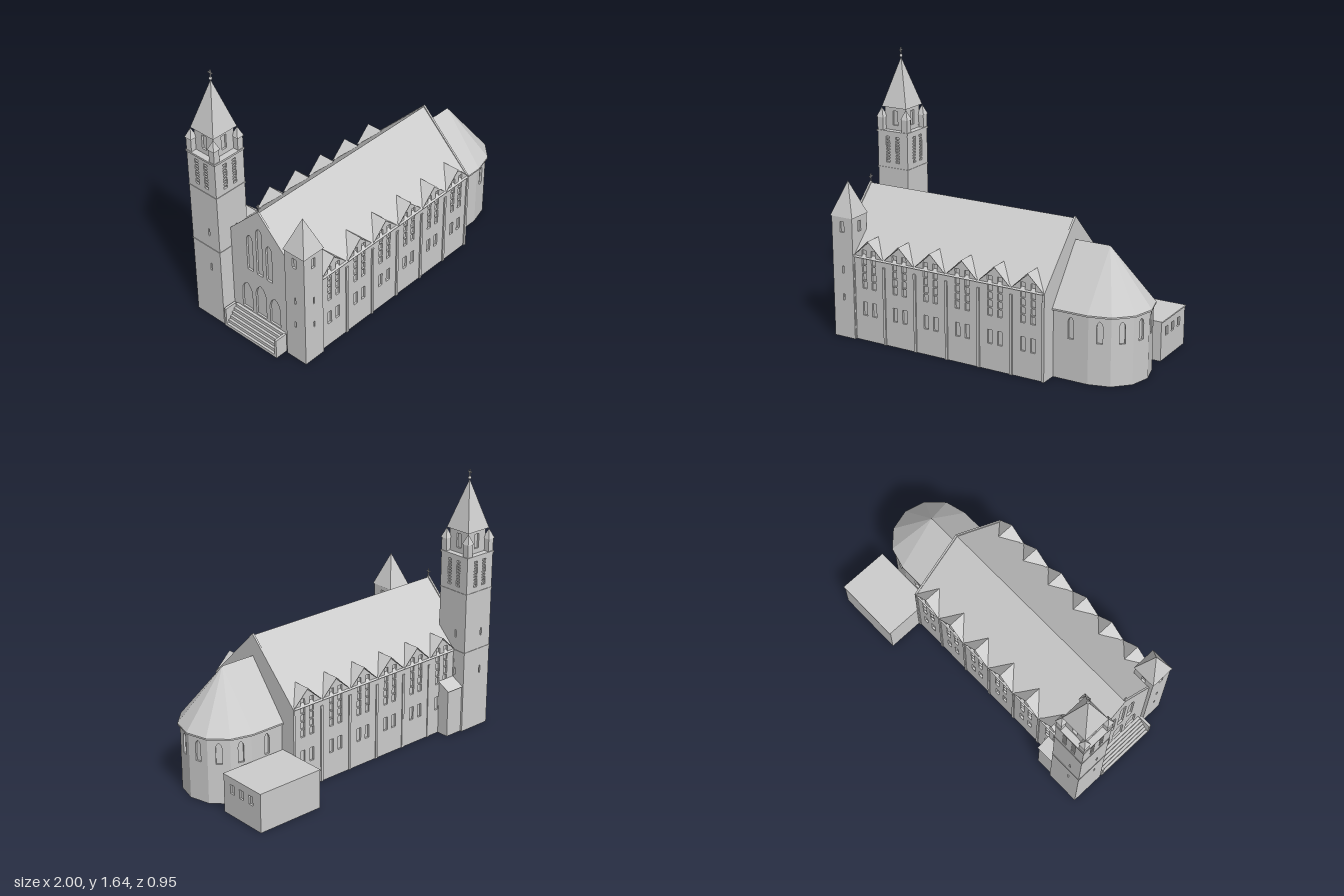
import * as THREE from 'three';

const stone = new THREE.MeshStandardMaterial({ color: 0xcccccc, side: THREE.DoubleSide });
stone.name = 'pale stone';

const T = 0.012;            // wall thickness and window recess
const CZ = 0.107;           // long axis of the nave

function add(parent, name, geometry, x = 0, y = 0, z = 0) {
  const mesh = new THREE.Mesh(geometry, stone);
  mesh.name = name;
  mesh.position.set(x, y, z);
  parent.add(mesh);
  return mesh;
}

// box given by its limits
function box(parent, name, x0, x1, y0, y1, z0, z1) {
  return add(parent, name, new THREE.BoxGeometry(x1 - x0, y1 - y0, z1 - z0),
    (x0 + x1) / 2, (y0 + y1) / 2, (z0 + z1) / 2);
}

// flat-sided surface from planar polygons
function facets(polygons) {
  const v = [];
  for (const p of polygons)
    for (let i = 1; i < p.length - 1; i++) v.push(...p[0], ...p[i], ...p[i + 1]);
  const g = new THREE.BufferGeometry();
  g.setAttribute('position', new THREE.Float32BufferAttribute(v, 3));
  g.computeVertexNormals();
  return g;
}

function pyramid(parent, name, x, z, half, y0, y1) {
  const c = [[-1, 1], [1, 1], [1, -1], [-1, -1]].map(([a, b]) => [a * half, 0, b * half]);
  const sides = c.map((p, i) => [p, c[(i + 1) % 4], [0, y1 - y0, 0]]);
  return add(parent, name, facets([...sides, [...c].reverse()]), x, y0, z);
}

// opening: u = centre along the wall, y = sill
function hole({ u, y, w, h, arch }) {
  const p = new THREE.Path(), r = w / 2;
  p.moveTo(u - r, y);
  p.lineTo(u + r, y);
  if (arch) {
    p.lineTo(u + r, y + h - w);
    p.quadraticCurveTo(u + r, y + h - r * 0.6, u, y + h);
    p.quadraticCurveTo(u - r, y + h - r * 0.6, u - r, y + h - w);
  } else {
    p.lineTo(u + r, y + h);
    p.lineTo(u - r, y + h);
  }
  p.closePath();
  return p;
}

// wall from a to b (x, z), outside on the right-hand side, with recessed openings
function wall(parent, name, a, b, outline, openings = []) {
  const g = new THREE.Group();
  g.name = name;
  const shape = new THREE.Shape(outline.map(p => new THREE.Vector2(...p)));
  shape.holes = openings.map(hole);
  add(g, 'wallFace', new THREE.ExtrudeGeometry(shape, { depth: T, bevelEnabled: false, curveSegments: 5 }), 0, 0, -T);
  for (const o of openings) {
    add(g, 'windowPane', new THREE.ShapeGeometry(new THREE.Shape(hole(o).getPoints(5))), 0, 0, -T);
    for (let i = 1; i <= (o.bars || 0); i++) {
      const y = o.y + o.h * i / (o.bars + 1);
      box(g, 'windowBar', o.u - o.w / 2, o.u + o.w / 2, y - 0.004, y + 0.004, -T, -0.002);
    }
  }
  g.position.set(a[0], 0, a[1]);
  g.rotation.y = Math.atan2(a[1] - b[1], b[0] - a[0]);
  parent.add(g);
}

const rect = (w, y0, y1) => [[0, y0], [w, y0], [w, y1], [0, y1]];

// four walls around a square, openings measured from the wall centre
function shaft(parent, name, x, z, half, y0, y1, openings) {
  const c = [[-1, 1], [1, 1], [1, -1], [-1, -1]].map(([a, b]) => [x + a * half, z + b * half]);
  const list = openings.map(o => ({ ...o, u: o.u + half }));
  c.forEach((p, i) => wall(parent, name, p, c[(i + 1) % 4], rect(half * 2, y0, y1), list));
}

function cross(parent, x, y, z, h) {
  const t = 0.003;
  box(parent, 'crossPost', x - t, x + t, y, y + h, z - t, z + t);
  box(parent, 'crossArm', x - t, x + t, y + h * 0.6, y + h * 0.6 + 2 * t, z - h * 0.3, z + h * 0.3);
}

function nave(root) {
  const x0 = -0.9, x1 = 0.515, start = -0.78, n = 6, bay = (x1 - start) / n, half = 0.348;
  const peaks = Array.from({ length: n }, (_, i) => start + bay * (i + 0.5));

  // side walls with a row of gablets and paired windows
  for (const s of [1, -1]) {
    const U = x => (s > 0 ? x - x0 : x1 - x);
    const top = [[U(x1), 0.525]];
    for (let i = n - 1; i >= 0; i--) top.push([U(peaks[i]), 0.622], [U(peaks[i] - bay / 2), 0.525]);
    const outline = [[U(x0), 0], [U(x1), 0], ...top, [U(x0), 0.525]];
    const windows = peaks.flatMap(x => [-0.033, 0.033].flatMap(d => [
      { u: U(x + d), y: 0.16, w: 0.03, h: 0.085 },
      { u: U(x + d), y: 0.33, w: 0.03, h: 0.24, bars: 4 }]));
    const z = CZ + s * half, ends = [[x0, z], [x1, z]];
    if (s < 0) ends.reverse();
    wall(root, 'naveSideWall', ...ends, outline, windows);
    for (let i = 0; i <= n; i++) {
      const x = Math.min(start + i * bay, x1 - 0.008);
      box(root, 'pilaster', x - 0.008, x + 0.008, 0, 0.485, z - 0.006, z + 0.008);
    }
    // roof slope and gablet roofs
    const e = CZ + s * 0.357, inner = CZ + s * 0.243;
    const roof = [[[x0, 0.87, CZ], [x0, 0.52, e], [x1, 0.52, e], [x1, 0.87, CZ]]];
    for (const x of peaks) {
      const P = [x, 0.63, e], I = [x, 0.63, inner];
      roof.push([[x - bay / 2, 0.525, e], P, I], [P, [x + bay / 2, 0.525, e], I]);
    }
    add(root, 'naveRoof', facets(roof));
  }

  // end gables
  const gable = [[0, 0], [0.71, 0], [0.71, 0.527], [0.355, 0.88], [0, 0.527]];
  wall(root, 'eastGable', [x1, CZ + 0.355], [x1, CZ - 0.355], gable);
  const front = [];
  for (const d of [-1, 0, 1]) {
    front.push({ u: 0.355 + d * 0.11, y: 0.13, w: 0.08, h: d ? 0.19 : 0.22, arch: true });
    front.push({ u: 0.355 + d * 0.075, y: 0.43, w: 0.045, h: d ? 0.25 : 0.33, arch: true });
  }
  wall(root, 'westFacade', [x0, CZ - 0.355], [x0, CZ + 0.355], gable, front);
  cross(root, x0 + 0.008, 0.875, CZ, 0.05);

  // entrance stairs between low side walls
  for (let i = 0; i < 6; i++)
    box(root, 'step', -0.995 + i * 0.0155, x0, i * 0.02, (i + 1) * 0.02, -0.09, 0.297);
  for (const z of [-0.105, 0.297]) box(root, 'stairSideWall', -0.995, -0.912, 0, 0.128, z, z + 0.015);
}

function choir(root) {
  const cx = 0.735, start = 0.515, ridge = 0.745, eave = 0.415;
  // plan line: straight side, six-sided half round, straight side
  const plan = r => {
    const p = [[start, CZ + r]];
    for (let i = 0; i <= 6; i++) {
      const a = i * Math.PI / 6;
      p.push([cx + r * Math.sin(a), CZ + r * Math.cos(a)]);
    }
    return [...p, [start, CZ - r]];
  };
  const inner = plan(0.251), outer = plan(0.265), roof = [];
  for (let i = 0; i < inner.length - 1; i++) {
    const a = inner[i], b = inner[i + 1], w = Math.hypot(b[0] - a[0], b[1] - a[1]);
    wall(root, 'choirWall', a, b, rect(w, 0, 0.41), [{ u: w / 2, y: 0.25, w: 0.035, h: 0.13, arch: true }]);
    const at = (p, y) => [p[0], y, p[1]], c = outer[i], d = outer[i + 1];
    const slope = [at(c, eave), at(d, eave)];
    if (i === inner.length - 2) slope.push([start, ridge, CZ]);
    slope.push([cx, ridge, CZ]);
    if (i === 0) slope.push([start, ridge, CZ]);
    roof.push(slope, [at(c, 0.405), at(d, 0.405), at(d, eave), at(c, eave)],
      [at(a, 0.405), at(b, 0.405), at(d, 0.405), at(c, 0.405)]);
  }
  add(root, 'choirRoof', facets(roof));
}

function mainTower(root) {
  const x = -0.882, z = -0.224, h = 0.109;
  const slits = [-0.035, 0.035].map(u => ({ u, y: 0.94, w: 0.027, h: 0.165, bars: 8 }));
  shaft(root, 'towerShaft', x, z, h, 0, 1.13, [...slits,
    { u: 0.03, y: 0.61, w: 0.01, h: 0.05 }, { u: 0.03, y: 0.36, w: 0.01, h: 0.05 }]);
  for (const [y, o, t] of [[0.52, 0.003, 0.008], [0.9, 0.003, 0.008], [1.128, 0.005, 0.012]])
    box(root, 'towerBand', x - h - o, x + h + o, y, y + t, z - h - o, z + h + o);
  // belfry, spire and corner pinnacles
  shaft(root, 'belfry', x, z, 0.075, 1.135, 1.285, [{ u: 0, y: 1.17, w: 0.035, h: 0.09 }]);
  pyramid(root, 'spire', x, z, 0.089, 1.283, 1.585);
  for (const a of [-1, 1]) for (const b of [-1, 1]) {
    const px = x + a * 0.089, pz = z + b * 0.089;
    box(root, 'pinnacle', px - 0.02, px + 0.02, 1.135, 1.222, pz - 0.02, pz + 0.02);
    pyramid(root, 'pinnacleRoof', px, pz, 0.025, 1.22, 1.28);
  }
  add(root, 'spireBall', new THREE.SphereGeometry(0.01, 12, 8), x, 1.592, z);
  cross(root, x, 1.595, z, 0.05);
}

function smallTower(root) {
  const x = -0.848, z = 0.398;
  shaft(root, 'smallTowerShaft', x, z, 0.073, 0, 0.757, [
    { u: 0, y: 0.66, w: 0.028, h: 0.065 },
    { u: 0, y: 0.405, w: 0.01, h: 0.045 }, { u: 0, y: 0.235, w: 0.01, h: 0.04 }]);
  pyramid(root, 'smallTowerRoof', x, z, 0.079, 0.755, 0.96);
}

function annexes(root) {
  // flat-roofed sacristy
  const x0 = 0.515, x1 = 0.943, z0 = -0.472, z1 = -0.15, h = 0.235;
  wall(root, 'sacristyEast', [x1, z1], [x1, z0], rect(z1 - z0, 0, h),
    [0.075, 0.155, 0.238].map(u => ({ u, y: 0.14, w: 0.034, h: 0.055 })));
  wall(root, 'sacristyNorth', [x1, z0], [x0, z0], rect(x1 - x0, 0, h));
  wall(root, 'sacristyWest', [x0, z0], [x0, z1], rect(z1 - z0, 0, h));
  wall(root, 'sacristySouth', [x0, z1], [x1, z1], rect(x1 - x0, 0, h));
  box(root, 'sacristyRoof', x0, x1 + 0.004, h, h + 0.008, z0 - 0.005, z1);

  // lean-to porch beside the main tower
  const a = -0.775, b = -0.655, n = -0.32, s = -0.241;
  wall(root, 'porchNorth', [b, n], [a, n], rect(b - a, 0, 0.305));
  wall(root, 'porchEast', [b, s], [b, n], [[0, 0], [s - n, 0], [s - n, 0.305], [0, 0.345]]);
  add(root, 'porchRoof', facets([[[a, 0.347, s], [b + 0.005, 0.347, s], [b + 0.005, 0.303, n - 0.008], [a, 0.303, n - 0.008]]]));
}

export function createModel() {
  const root = new THREE.Group();
  root.name = 'church';
  for (const build of [nave, choir, mainTower, smallTower, annexes]) {
    const part = new THREE.Group();
    part.name = build.name;
    build(part);
    root.add(part);
  }
  return root;
}
